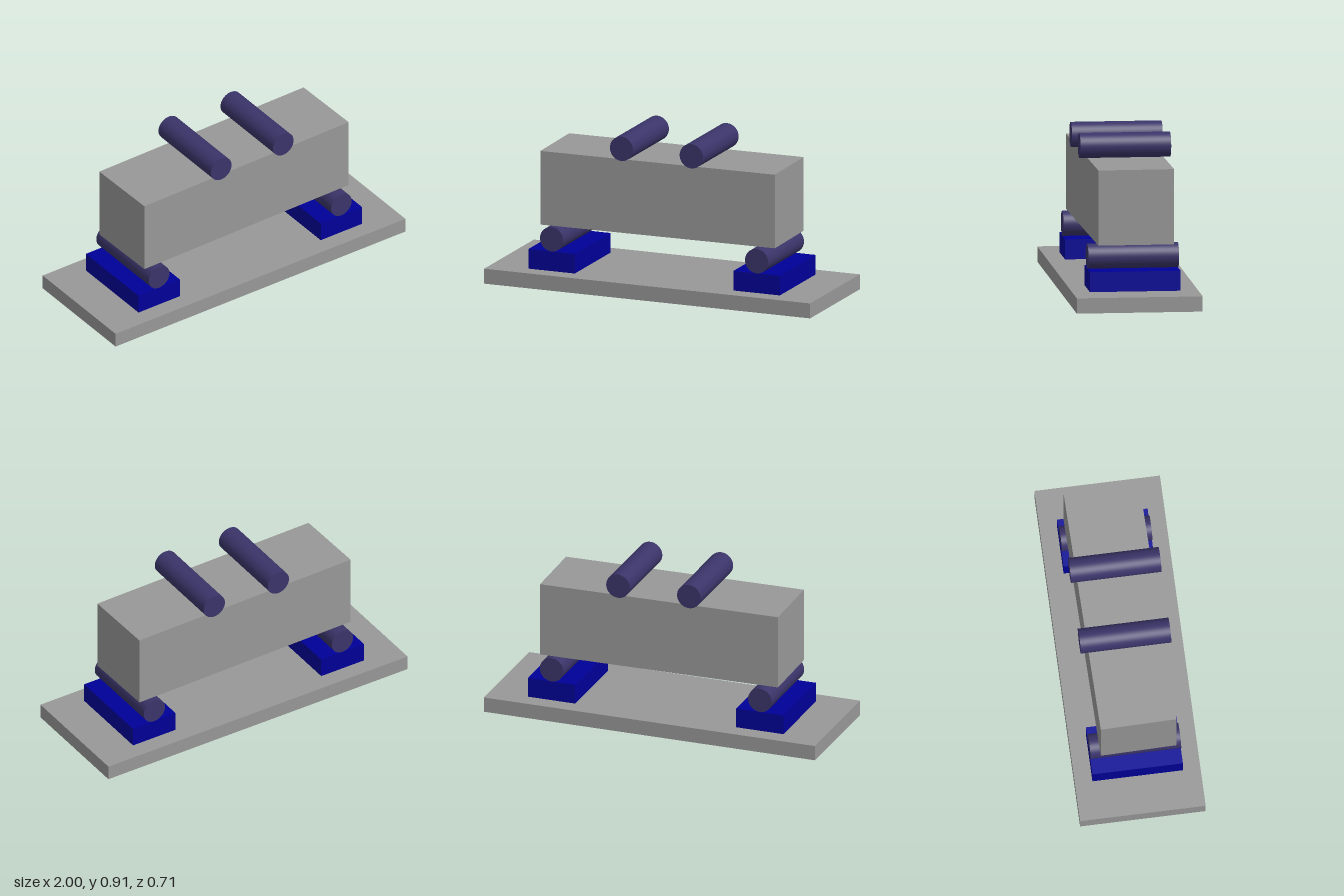
import * as THREE from 'three';

const grey = new THREE.MeshStandardMaterial({ color: 0x989898 });
const blue = new THREE.MeshStandardMaterial({ color: 0x000098 });
const violet = new THREE.MeshStandardMaterial({ color: 0x3a3469 });

const ROLLER_RADIUS = 0.071;
const ROLLER_LENGTH = 0.515;

// Box standing on height y
function block(name, material, width, height, depth, x, y) {
  const mesh = new THREE.Mesh(new THREE.BoxGeometry(width, height, depth), material);
  mesh.name = name;
  mesh.position.set(x, y + height / 2, 0);
  return mesh;
}

// Cylinder lying along z, resting on height y
function roller(name, x, y) {
  const geometry = new THREE.CylinderGeometry(ROLLER_RADIUS, ROLLER_RADIUS, ROLLER_LENGTH, 64);
  geometry.rotateX(Math.PI / 2);
  const mesh = new THREE.Mesh(geometry, violet);
  mesh.name = name;
  mesh.position.set(x, y + ROLLER_RADIUS, 0);
  return mesh;
}

export function createModel() {
  const model = new THREE.Group();
  model.name = 'bendingTestRig';

  // Base plate
  model.add(block('basePlate', grey, 2, 0.087, 0.715, 0, 0));

  // Support pads with the lower rollers
  for (const [side, s] of [['left', 1], ['right', -1]]) {
    model.add(block(side + 'SupportPad', blue, 0.285, 0.114, ROLLER_LENGTH, s * 0.629, 0.087));
    model.add(roller(side + 'SupportRoller', s * 0.629, 0.201));
  }

  // Test beam, turned by one degree
  const beam = block('beam', grey, 1.428, 0.429, 0.431, 0, 0.343);
  beam.rotation.y = THREE.MathUtils.degToRad(1);
  model.add(beam);

  // Loading rollers on top of the beam
  model.add(roller('leftLoadingRoller', 0.228, 0.772));
  model.add(roller('rightLoadingRoller', -0.2, 0.772));

  return model;
}
